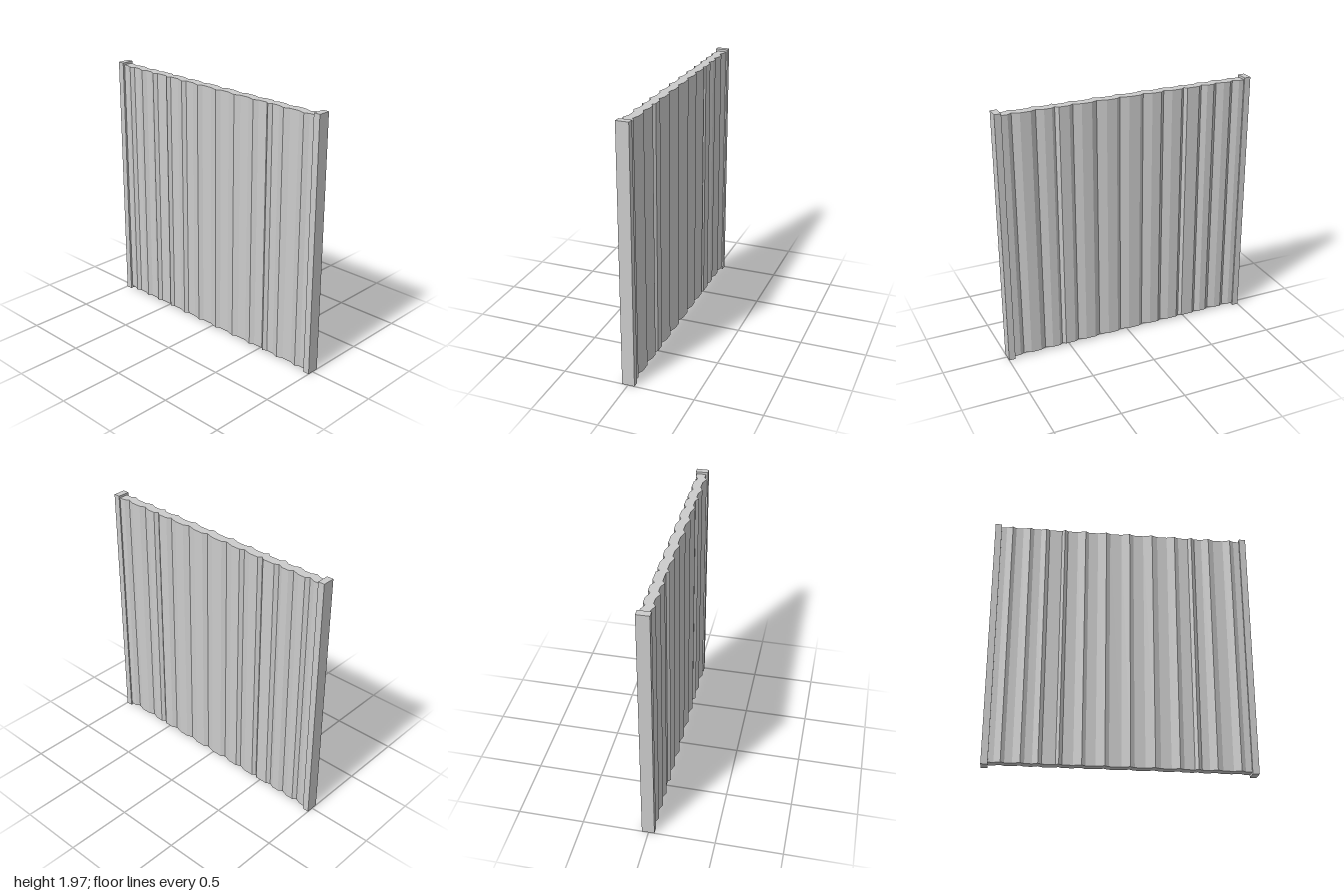
import * as THREE from 'three';

// Each fold of the sheet: x of its left foot, crest and right foot
const FOLDS = [
  [-0.91, -0.863, -0.835], [-0.78, -0.725, -0.695], [-0.64, -0.6, -0.573],
  [-0.475, -0.453, -0.428], [-0.35, -0.29, -0.262], [-0.19, -0.125, -0.093],
  [-0.005, 0.06, 0.092], [0.17, 0.24, 0.283], [0.36, 0.42, 0.453],
  [0.53, 0.555, 0.582], [0.64, 0.695, 0.737], [0.815, 0.87, 0.903],
];
const FOLD_DEPTH = 0.02;
const EDGE = 0.955;

export function createModel() {
  const model = new THREE.Group();
  const material = new THREE.MeshStandardMaterial({ color: 0xcccccc, flatShading: true });

  // Centre line of the folded sheet as [x, offset towards the front]
  const line = [[-EDGE, 0]];
  for (const [left, crest, right] of FOLDS) {
    line.push([left, 0], [crest, FOLD_DEPTH], [right, 0]);
  }
  line.push([EDGE, 0]);

  // Folded panel: front and back follow the same line, extruded upwards
  const front = line.map(([x, d]) => new THREE.Vector2(x, -(0.03 + d)));
  const back = line.map(([x, d]) => new THREE.Vector2(x, 0.04 - d)).reverse();
  const sheet = new THREE.ExtrudeGeometry(new THREE.Shape([...front, ...back]), {
    depth: 1.93, bevelEnabled: false,
  });
  sheet.rotateX(-Math.PI / 2);
  const panel = new THREE.Mesh(sheet, material);
  panel.name = 'corrugatedPanel';
  panel.position.y = 0.018;
  model.add(panel);

  // Upright posts at both ends
  for (const side of [-1, 1]) {
    const post = new THREE.Mesh(new THREE.BoxGeometry(0.05, 1.965, 0.095), material);
    post.name = side > 0 ? 'leftPost' : 'rightPost';
    post.position.set(side * 0.975, 0.9825, -0.0025);
    model.add(post);
  }
  return model;
}
